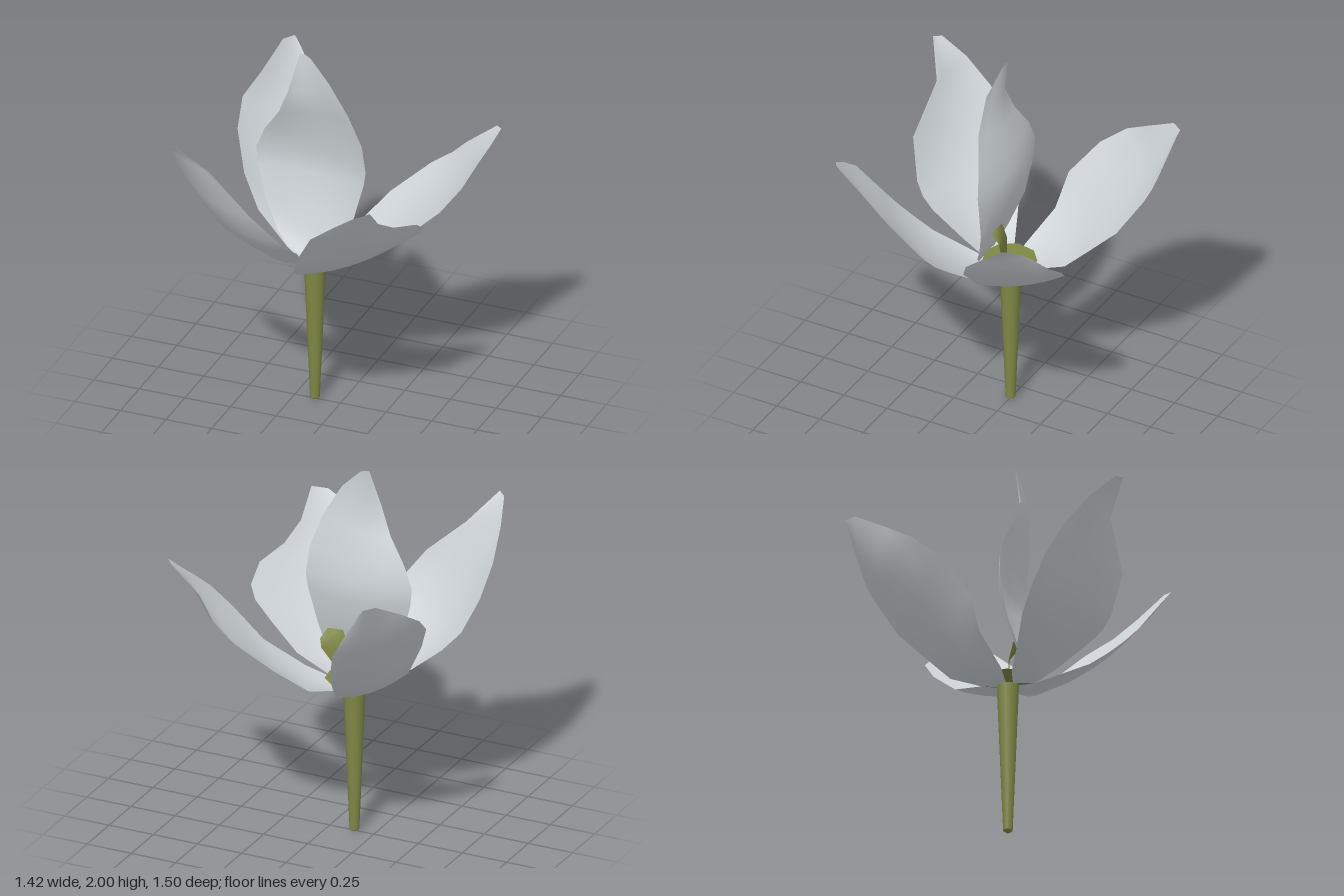
import * as THREE from 'three';

const petalMat = new THREE.MeshStandardMaterial({ color: 0xcdd3d7, side: THREE.DoubleSide });
petalMat.name = 'pale grey petal';
const greenMat = new THREE.MeshStandardMaterial({ color: 0x7f8844, side: THREE.DoubleSide });
greenMat.name = 'olive green';

const STEM_X = -0.14;

// Curved sheet: each row gives left edge, middle and right edge as [x, y, z]
function sheet(name, rows, material, cols = 6) {
  const pos = [], idx = [];
  rows.forEach(([l, m, r]) => {
    for (let c = 0; c <= cols; c++) {
      const u = c / cols;
      const a = (1 - u) * (1 - 2 * u), b = 4 * u * (1 - u), d = u * (2 * u - 1);
      for (let k = 0; k < 3; k++) pos.push(l[k] * a + m[k] * b + r[k] * d);
    }
  });
  const w = cols + 1;
  for (let i = 0; i < rows.length - 1; i++) {
    for (let c = 0; c < cols; c++) {
      const p = i * w + c;
      idx.push(p, p + 1, p + w, p + 1, p + w + 1, p + w);
    }
  }
  const geo = new THREE.BufferGeometry();
  geo.setAttribute('position', new THREE.Float32BufferAttribute(pos, 3));
  geo.setIndex(idx);
  geo.computeVertexNormals();
  const mesh = new THREE.Mesh(geo, material);
  mesh.name = name;
  return mesh;
}

const petals = {
  frontRightPetal: [
    [[-0.16, 0.815, 0.04], [-0.17, 0.81, 0.02], [-0.18, 0.815, 0.0]],
    [[-0.27, 0.835, 0.05], [-0.2, 0.815, 0.1], [-0.11, 0.835, 0.14]],
    [[-0.41, 0.91, 0.11], [-0.275, 0.875, 0.205], [-0.1, 0.91, 0.25]],
    [[-0.55, 1.02, 0.17], [-0.34, 0.98, 0.315], [-0.07, 1.05, 0.41]],
    [[-0.63, 1.11, 0.23], [-0.39, 1.06, 0.39], [-0.09, 1.1, 0.48]],
    [[-0.69, 1.27, 0.32], [-0.43, 1.165, 0.46], [-0.12, 1.16, 0.53]],
    [[-0.71, 1.43, 0.43], [-0.49, 1.33, 0.54], [-0.24, 1.33, 0.62]],
    [[-0.69, 1.58, 0.56], [-0.58, 1.55, 0.582], [-0.47, 1.54, 0.61]],
    [[-0.65, 1.69, 0.68], [-0.63, 1.69, 0.7], [-0.61, 1.7, 0.71]],
  ],
  frontLeftPetal: [
    [[-0.14, 0.815, 0.04], [-0.12, 0.81, 0.03], [-0.11, 0.815, 0.0]],
    [[-0.11, 0.835, 0.14], [-0.05, 0.812, 0.09], [0.0, 0.84, 0.0]],
    [[-0.1, 0.87, 0.25], [0.055, 0.865, 0.155], [0.2, 0.91, 0.03]],
    [[-0.07, 0.93, 0.41], [0.15, 0.945, 0.255], [0.36, 1.03, 0.07]],
    [[-0.05, 0.99, 0.5], [0.215, 1.02, 0.325], [0.47, 1.12, 0.1]],
    [[-0.01, 1.07, 0.58], [0.255, 1.09, 0.39], [0.515, 1.18, 0.14]],
    [[0.02, 1.14, 0.64], [0.275, 1.165, 0.46], [0.52, 1.26, 0.25]],
    [[0.14, 1.34, 0.74], [0.31, 1.3, 0.59], [0.46, 1.31, 0.41]],
    [[0.26, 1.43, 0.745], [0.35, 1.4, 0.65], [0.43, 1.39, 0.54]],
    [[0.37, 1.5, 0.73], [0.41, 1.51, 0.705], [0.44, 1.52, 0.68]],
  ],
  backLeftPetal: [
    [[-0.13, 0.815, -0.04], [-0.12, 0.81, -0.02], [-0.11, 0.815, 0.0]],
    [[-0.13, 0.835, -0.14], [-0.04, 0.82, -0.1], [0.0, 0.84, -0.01]],
    [[-0.03, 0.88, -0.3], [0.055, 0.87, -0.17], [0.12, 0.885, -0.035]],
    [[0.03, 0.95, -0.37], [0.19, 0.945, -0.22], [0.34, 1.0, -0.07]],
    [[0.09, 1.02, -0.44], [0.3, 1.045, -0.265], [0.51, 1.16, -0.085]],
    [[0.28, 1.18, -0.53], [0.435, 1.18, -0.345], [0.6, 1.28, -0.15]],
    [[0.4, 1.27, -0.52], [0.53, 1.305, -0.4], [0.65, 1.39, -0.27]],
    [[0.5, 1.375, -0.47], [0.59, 1.405, -0.408], [0.68, 1.45, -0.34]],
    [[0.67, 1.51, -0.455], [0.69, 1.515, -0.435], [0.71, 1.52, -0.415]],
  ],
  backRightPetal: [
    [[-0.17, 0.815, 0.0], [-0.17, 0.81, -0.02], [-0.14, 0.815, -0.04]],
    [[-0.3, 0.85, 0.0], [-0.22, 0.825, -0.08], [-0.13, 0.835, -0.14]],
    [[-0.48, 0.98, -0.07], [-0.34, 0.895, -0.19], [-0.18, 0.87, -0.29]],
    [[-0.57, 1.16, -0.1], [-0.42, 1.03, -0.28], [-0.22, 0.98, -0.41]],
    [[-0.66, 1.33, -0.23], [-0.48, 1.18, -0.4], [-0.27, 1.1, -0.54]],
    [[-0.69, 1.44, -0.37], [-0.53, 1.33, -0.53], [-0.34, 1.29, -0.66]],
    [[-0.64, 1.53, -0.51], [-0.53, 1.42, -0.61], [-0.38, 1.35, -0.685]],
    [[-0.6, 1.63, -0.69], [-0.52, 1.51, -0.7], [-0.41, 1.4, -0.7]],
    [[-0.56, 1.63, -0.75], [-0.53, 1.59, -0.74], [-0.5, 1.54, -0.73]],
  ],
  uprightPetal: [
    [[-0.19, 0.865, 0.12], [-0.11, 0.86, 0.125], [-0.02, 0.865, 0.115]],
    [[-0.25, 0.91, 0.11], [-0.12, 0.9, 0.1], [0.03, 0.91, 0.1]],
    [[-0.31, 0.98, 0.085], [-0.13, 0.97, 0.06], [0.06, 0.98, 0.07]],
    [[-0.38, 1.1, 0.05], [-0.14, 1.1, 0.028], [0.09, 1.1, 0.045]],
    [[-0.44, 1.3, 0.03], [-0.14, 1.28, -0.03], [0.14, 1.3, 0.03]],
    [[-0.45, 1.4, 0.03], [-0.14, 1.4, -0.022], [0.15, 1.37, 0.03]],
    [[-0.4, 1.52, 0.04], [-0.14, 1.52, -0.005], [0.13, 1.52, 0.035]],
    [[-0.31, 1.65, 0.07], [-0.13, 1.66, 0.035], [0.07, 1.7, 0.07]],
    [[-0.25, 1.79, 0.093], [-0.15, 1.8, 0.068], [-0.03, 1.87, 0.08]],
    [[-0.2, 2.0, 0.05], [-0.17, 1.995, 0.052], [-0.14, 1.98, 0.055]],
  ],
};

// Small curled leaf behind the upright petal
const curl = [
  [[-0.11, 0.85, 0.0], [-0.09, 0.85, -0.012], [-0.07, 0.85, -0.025]],
  [[-0.1, 0.93, -0.002], [-0.06, 0.93, -0.012], [-0.02, 0.93, -0.022]],
  [[-0.1, 1.0, -0.002], [-0.04, 1.0, -0.02], [0.03, 1.0, -0.035]],
  [[-0.09, 1.05, 0.008], [-0.03, 1.06, -0.01], [0.04, 1.05, -0.03]],
  [[-0.07, 1.1, 0.012], [-0.03, 1.1, 0.012], [0.02, 1.09, 0.018]],
];

export function createModel() {
  const model = new THREE.Group();
  model.name = 'flower';

  // Tapered stem, narrow at the foot
  const stem = new THREE.Mesh(new THREE.CylinderGeometry(0.058, 0.025, 0.805, 12), greenMat);
  stem.name = 'stem';
  stem.position.set(STEM_X, 0.4125, 0);
  model.add(stem);
  const foot = new THREE.Mesh(new THREE.CylinderGeometry(0.025, 0.012, 0.01, 12), greenMat);
  foot.name = 'stemFoot';
  foot.position.set(STEM_X, 0.005, 0);
  model.add(foot);

  // Flower heart inside the petals
  const heart = new THREE.Mesh(new THREE.CylinderGeometry(0.143, 0.08, 0.02, 9), greenMat);
  heart.name = 'heart';
  heart.position.set(STEM_X + 0.01, 0.844, 0);
  model.add(heart);
  model.add(sheet('curledLeaf', curl, greenMat, 4));

  for (const [name, rows] of Object.entries(petals)) model.add(sheet(name, rows, petalMat));
  return model;
}
